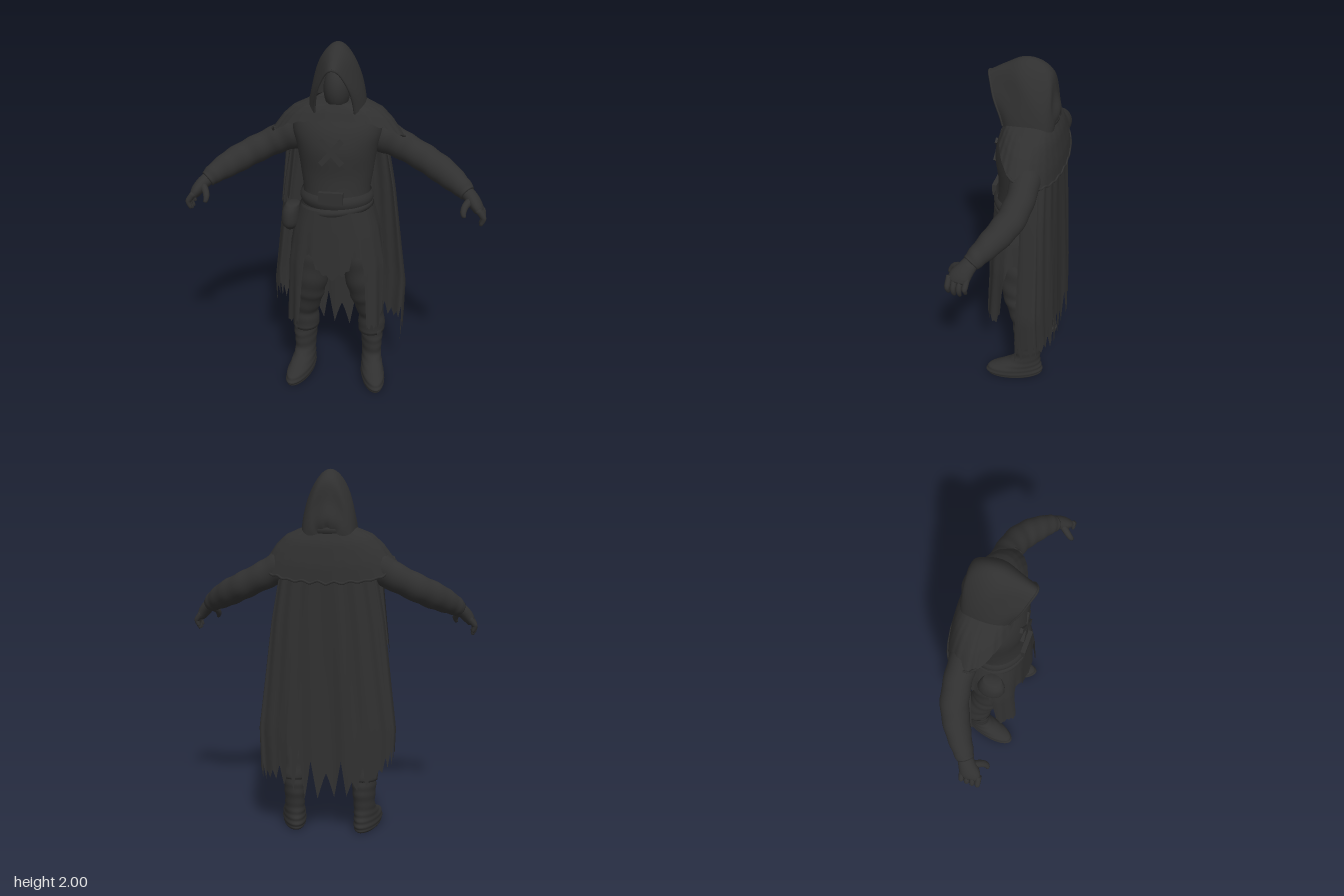
import * as THREE from 'three';
import { mergeVertices } from 'three/addons/utils/BufferGeometryUtils.js';

const cloth = new THREE.MeshStandardMaterial({ color: 0x303030, side: THREE.DoubleSide });
cloth.name = 'dark cloth';

const { lerp, degToRad } = THREE.MathUtils;
const hash = (n) => { const s = Math.sin(n * 127.1 + 3.7) * 43758.5; return s - Math.floor(s); };
const spow = (a, p) => Math.sign(a) * Math.abs(a) ** p;

// Linear lookup through [position, value] stops
function stops(list, x) {
  for (let i = 1; i < list.length; i++) {
    const [a, va] = list[i - 1], [b, vb] = list[i];
    if (x <= b) return lerp(va, vb, Math.max(0, (x - a) / (b - a)));
  }
  return list[list.length - 1][1];
}

// Torn hem: uneven notches rising from the lowest edge
function torn(u, count, depth) {
  const k = Math.floor(u * count), f = u * count - k;
  return depth * (0.25 + 0.75 * hash(k)) * (1 - Math.abs(2 * f - 1));
}

// Smooth grid surface from a rule f(u, v) -> [x, y, z]
function sheet(nu, nv, f) {
  const pos = [], idx = [];
  for (let j = 0; j <= nv; j++) for (let i = 0; i <= nu; i++) pos.push(...f(i / nu, j / nv));
  for (let j = 0; j < nv; j++) for (let i = 0; i < nu; i++) {
    const a = j * (nu + 1) + i, b = a + nu + 1;
    idx.push(a, a + 1, b, a + 1, b + 1, b);
  }
  let g = new THREE.BufferGeometry();
  g.setAttribute('position', new THREE.Float32BufferAttribute(pos, 3));
  g.setIndex(idx);
  g = mergeVertices(g, 1e-5);
  g.computeVertexNormals();
  return g;
}

const spline = (pts) => new THREE.CatmullRomCurve3(pts.map((p) => new THREE.Vector3(...p)), false, 'catmullrom', 0.5);

// Closed body through stations [x, y, z, rx, rz]; level keeps the sections horizontal
function body(st, { level = false, nu = 24, nv = 32, wrinkle = 0, folds = 20 } = {}) {
  const path = spline(st.map((s) => s.slice(0, 3)));
  const size = spline(st.map((s) => [s[3], s[4], 0]));
  return sheet(nu, nv + 2, (u, v) => {
    const row = Math.round(v * (nv + 2));
    const t = Math.min(1, Math.max(0, (row - 1) / nv));
    const p = path.getPoint(t), r = size.getPoint(t);
    const T = level ? new THREE.Vector3(0, 1, 0) : path.getTangent(t);
    const S = new THREE.Vector3(0, 0, 1).cross(T).normalize();
    const B = T.clone().cross(S);
    const a = (u === 1 ? 0 : u) * Math.PI * 2;
    const k = row === 0 || row === nv + 2 ? 0 : 1 + wrinkle * Math.sin(t * folds * 2 + Math.sin(a) * 1.5);
    p.addScaledVector(S, r.x * k * Math.cos(a)).addScaledVector(B, r.y * k * Math.sin(a));
    return [p.x, p.y, p.z];
  });
}

// Level station from front and back depth
const lv = (y, rx, zf, zb, x = 0) => [x, y, (zf + zb) / 2, rx, (zf - zb) / 2];

export function createModel() {
  const model = new THREE.Group();
  const add = (name, geo, parent = model) => {
    const m = new THREE.Mesh(geo, cloth);
    m.name = name;
    parent.add(m);
    return m;
  };

  // Torso and hips
  add('torso', body([
    lv(0.8, 0.15, 0.1, -0.11), lv(0.95, 0.2, 0.15, -0.13), lv(1.1, 0.195, 0.165, -0.13),
    lv(1.2, 0.18, 0.155, -0.13), lv(1.32, 0.195, 0.15, -0.15), lv(1.45, 0.215, 0.162, -0.17),
    lv(1.55, 0.24, 0.145, -0.18), lv(1.63, 0.22, 0.11, -0.165), lv(1.7, 0.12, 0.07, -0.13),
  ], { level: true, nu: 40, nv: 40 }));

  // Hood: arches from the front rim to the nape
  const arches = [
    [0.105, 1.66, 0.1, 1.905, 0.195], [0.135, 1.665, 0.06, 1.955, 0.11], [0.15, 1.67, 0.0, 1.998, 0.02],
    [0.15, 1.67, -0.06, 1.99, -0.065], [0.14, 1.67, -0.11, 1.935, -0.13], [0.12, 1.66, -0.14, 1.83, -0.15],
    [0.08, 1.65, -0.155, 1.74, -0.172], [0.01, 1.65, -0.15, 1.67, -0.15],
  ];
  const feet = spline(arches.map(([w, y, z]) => [w, y, z]));
  const peaks = spline(arches.map(([, , , y, z]) => [0, y, z]));
  const arch = (u, v) => {
    const b = feet.getPoint(v), p = peaks.getPoint(v), a = u * Math.PI, s = Math.sin(a);
    const crease = 0.006 * Math.sin(v * 14 + s * 4) * Math.sin(2 * a) ** 2;
    return [(b.x + crease) * Math.cos(a) * (1 - 0.2 * s), lerp(b.y, p.y, s), lerp(b.z, p.z, s ** 1.2) + crease];
  };
  add('hood', sheet(40, 36, arch));
  const rim = [];
  for (let i = 0; i <= 16; i++) rim.push(arch(i / 16, 0));
  add('hoodRim', new THREE.TubeGeometry(spline(rim), 40, 0.006, 6));
  add('maskedFace', new THREE.SphereGeometry(1, 24, 16).scale(0.07, 0.12, 0.095).translate(0, 1.765, 0.005));
  add('neckScarf', new THREE.TorusGeometry(0.11, 0.03, 10, 36).rotateX(Math.PI / 2 + 0.2).translate(0, 1.665, -0.03));

  // Shoulder cape with a torn rolled hem, lower at the back
  const capeletPoint = (u, v) => {
    const a = (u === 1 ? 0 : u) * Math.PI * 2, c = Math.cos(a);
    const hem = stops([[-1, 1.41], [-0.4, 1.46], [0, 1.505], [0.4, 1.535], [1, 1.62]], c) + torn(u, 26, 0.018);
    const rx = stops([[0, 0.14], [0.22, 0.235], [0.5, 0.29], [0.8, 0.33], [1, 0.355]], v);
    const zf = stops([[0, 0.12], [0.5, 0.14], [1, 0.155]], v);
    const zb = stops([[0, 0.11], [0.3, 0.145], [0.7, 0.165], [1, 0.17]], v);
    return [rx * Math.sin(a) * (c > 0 ? 1 - 0.06 * c : 1), lerp(1.7, hem, v), -0.035 + (c > 0 ? zf * c : zb * spow(c, 0.7))];
  };
  add('shoulderCape', sheet(120, 14, capeletPoint));
  const hem = [];
  for (let i = 0; i <= 60; i++) hem.push(capeletPoint(lerp(0.2, 0.8, i / 60), 1));
  add('shoulderCapeHem', new THREE.TubeGeometry(spline(hem), 120, 0.007, 6));

  // Long torn cloak
  add('cloak', sheet(168, 24, (u, v) => {
    const a = degToRad(lerp(-104, 104, u)), k = u * 2 - 1;
    const low = stops([[-1, 0.46], [-0.6, 0.4], [-0.15, 0.25], [0.12, 0.21], [0.4, 0.32], [0.75, 0.32], [1, 0.25]], k);
    const y = lerp(1.52, low + torn(u, 21, Math.abs(k) < 0.3 ? 0.27 : 0.12), v);
    const w = stops([[0.3, 0.365], [0.6, 0.375], [0.85, 0.345], [1.2, 0.305], [1.52, 0.25]], y)
      + (k > 0 ? 0.012 : -0.004) * v;
    const fold = 0.008 * v * Math.sin(k * 12 + 1) + 0.004 * Math.sin(k * 29 + v * 3);
    return [w * spow(Math.sin(a), 0.85), y, -0.085 - (0.095 + 0.025 * v) * spow(Math.cos(a), 0.55) + fold];
  }));
  // Short torn layer over the right edge of the cloak
  add('cloakStrip', sheet(16, 10, (u, v) => [
    lerp(-0.22, -0.29, u) - 0.045 * v, lerp(1.47, lerp(1.12, 1.02, u) + torn(u, 3, 0.06), v),
    lerp(-0.06, -0.1, u) + 0.015 * Math.sin(u * 9)]));

  // Skirt: short in the middle, long torn panels at the front corners
  add('skirt', sheet(180, 20, (u, v) => {
    const deg = lerp(-180, 180, u === 1 ? 0 : u), a = degToRad(deg), m = Math.abs(deg);
    const low = stops([[0, 0.73], [12, 0.77], [22, 0.87], [30, 0.86], [34, 0.7], [38, 0.42], [66, 0.42],
      [72, 0.5], [77, 0.75], [86, 0.86], [180, 0.8]], m) + torn(u, 50, 0.05);
    const y = lerp(1.13, low, v);
    const rx = stops([[0.4, 0.28], [0.8, 0.268], [1, 0.235], [1.13, 0.2]], y);
    const rz = stops([[0.4, 0.23], [0.75, 0.195], [1, 0.18], [1.13, 0.17]], y);
    const f = 1 + 0.02 * v * Math.sin(a * 15);
    return [rx * f * spow(Math.sin(a), 0.75), y, (m < 90 ? rz : 0.14) * f * spow(Math.cos(a), 0.75)];
  }));

  // Belt, sash, buckle and pouch
  const belt = (name, y, h, tilt) => add(name, sheet(48, 6, (u, v) => {
    const a = (u === 1 ? 0 : u) * Math.PI * 2, bulge = 0.012 * Math.sin(v * Math.PI);
    return [(0.188 + bulge) * Math.sin(a), y + h * (v - 0.5) + tilt * Math.sin(a), 0.015 + (0.153 + bulge) * Math.cos(a)];
  }));
  belt('belt', 1.18, 0.075, 0);
  belt('slantedBelt', 1.125, 0.05, 0.02);
  add('buckle', new THREE.BoxGeometry(0.13, 0.065, 0.025).translate(-0.01, 1.215, 0.17));
  add('pouch', body([lv(0.985, 0.03, 0.1, 0.01, -0.25), lv(1.02, 0.05, 0.13, -0.02, -0.25),
    lv(1.09, 0.048, 0.13, -0.01, -0.245), lv(1.13, 0.035, 0.11, 0.01, -0.235)], { level: true, nu: 16, nv: 10 }));

  // Crossed straps on the chest
  for (const s of [1, -1]) {
    const strap = add('chestStrap', new THREE.BoxGeometry(0.17, 0.028, 0.02));
    strap.position.set(-0.01, 1.465, 0.156);
    strap.rotation.set(-0.1, 0, s * 0.85, 'XYZ');
  }

  for (const s of [1, -1]) {
    const side = s > 0 ? 'left' : 'right';
    const mir = (list) => list.map(([x, ...r]) => [x * s, ...r]);

    // Sleeve and hand
    add(side + 'Arm', body(mir([
      [0.17, 1.52, -0.06, 0.105, 0.1], [0.26, 1.485, -0.065, 0.088, 0.08], [0.36, 1.435, -0.07, 0.077, 0.073],
      [0.48, 1.375, -0.05, 0.075, 0.073], [0.58, 1.325, 0.0, 0.072, 0.067], [0.66, 1.28, 0.055, 0.057, 0.054],
      [0.7, 1.25, 0.085, 0.045, 0.045],
    ]), { wrinkle: 0.025, folds: 22, nv: 48 }));
    const hand = new THREE.Group();
    hand.name = side + 'Hand';
    model.add(hand);
    add('palm', body(mir([[0.685, 1.262, 0.075, 0.036, 0.038], [0.72, 1.235, 0.1, 0.036, 0.045],
      [0.75, 1.2, 0.125, 0.032, 0.055], [0.765, 1.175, 0.13, 0.024, 0.052]]), { nu: 16, nv: 12 }), hand);
    for (let i = 0; i < 4; i++) {
      const z = 0.088 + i * 0.029, d = [0.018, 0, 0, 0.012][i];
      add('finger', body(mir([[0.755, 1.2, z, 0.017, 0.016], [0.782, 1.165, z + 0.003, 0.016, 0.015],
        [0.787, 1.135 + d, z + 0.004, 0.014, 0.013], [0.775, 1.103 + d, z + 0.004, 0.009, 0.009]]), { nu: 10, nv: 9 }), hand);
    }
    add('thumb', body(mir([[0.715, 1.23, 0.125, 0.022, 0.02], [0.69, 1.21, 0.165, 0.019, 0.018],
      [0.682, 1.185, 0.188, 0.016, 0.015], [0.688, 1.162, 0.2, 0.01, 0.01]]), { nu: 10, nv: 9 }), hand);

    // Baggy trouser leg
    add(side + 'Leg', body(mir([
      [0.105, 0.98, 0.0, 0.1, 0.12], [0.13, 0.8, 0.01, 0.108, 0.12], [0.152, 0.64, 0.01, 0.095, 0.1],
      [0.17, 0.54, -0.01, 0.088, 0.085], [0.192, 0.42, -0.05, 0.074, 0.085], [0.196, 0.3, -0.06, 0.08, 0.088],
    ]), { wrinkle: 0.03, folds: 18, nv: 44 }));

    // Boot with wrapped shaft, toe turned slightly out
    const boot = body([
      lv(0, 0.062, 0.175, -0.13), lv(0.025, 0.068, 0.188, -0.142), lv(0.06, 0.066, 0.165, -0.138),
      lv(0.1, 0.06, 0.075, -0.13), lv(0.15, 0.056, 0.02, -0.128), lv(0.22, 0.06, 0.02, -0.14),
      lv(0.28, 0.065, 0.02, -0.142), lv(0.34, 0.065, 0.015, -0.135),
    ], { level: true, nu: 28, nv: 42, wrinkle: 0.02, folds: 24 });
    const p = boot.attributes.position;
    for (let i = 0; i < p.count; i++) p.setX(i, p.getX(i) + s * (0.21 + 0.2 * p.getZ(i)));
    boot.computeVertexNormals();
    add(side + 'Boot', boot);
  }
  return model;
}
